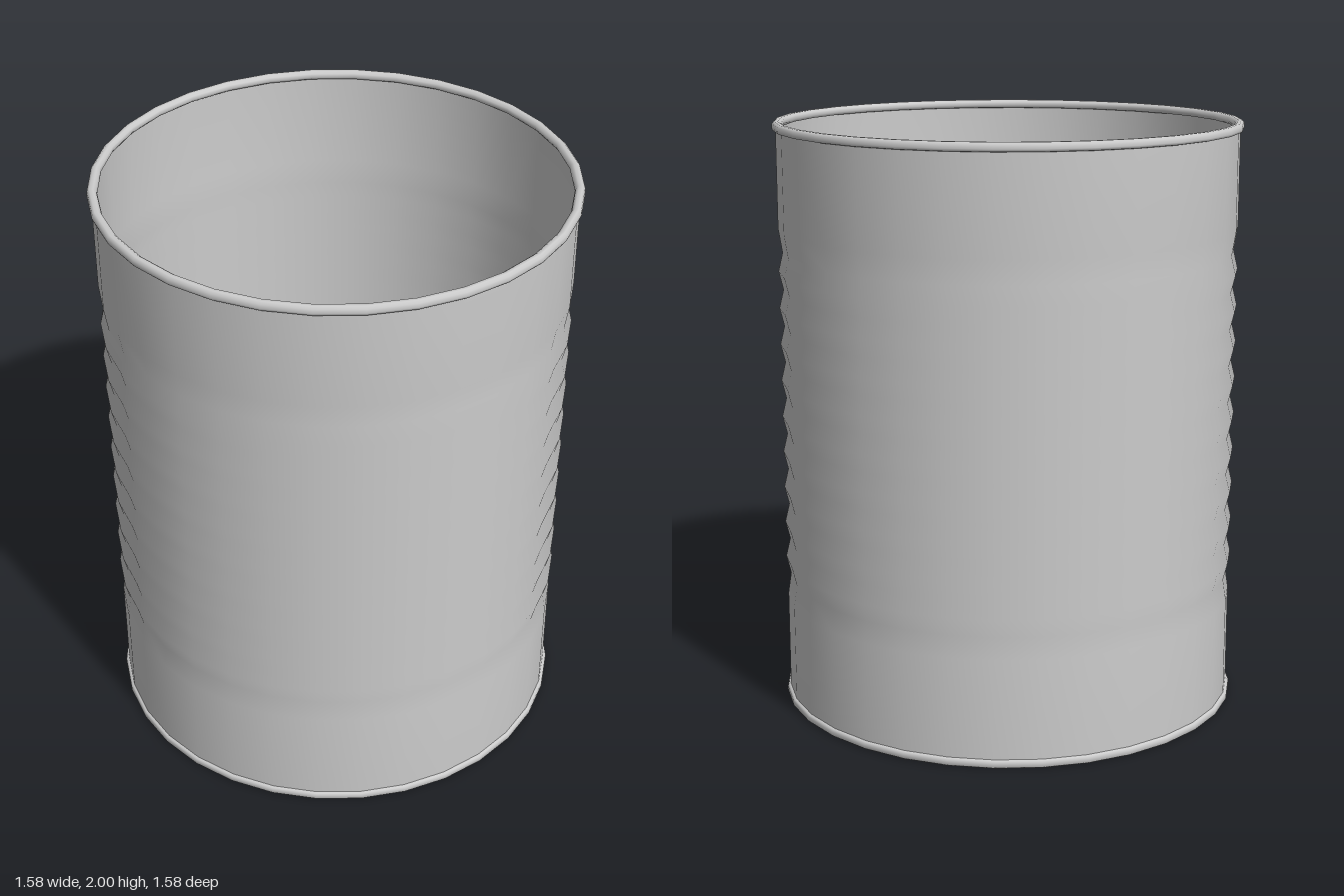
import * as THREE from 'three';

const SIDES = 32;

export function createModel() {
  const can = new THREE.Group();
  can.name = 'openTinCan';
  const metal = new THREE.MeshStandardMaterial({ color: 0xcccccc, side: THREE.DoubleSide });

  // Revolve a profile of [radius, height] pairs around the y axis
  const lathe = (name, profile) => {
    const points = profile.map(([r, y]) => new THREE.Vector2(r, y));
    const mesh = new THREE.Mesh(new THREE.LatheGeometry(points, SIDES), metal);
    mesh.name = name;
    can.add(mesh);
  };

  // Thin wall with ten shallow grooves between two plain bands
  const wall = [[0.775, 0.015], [0.775, 0.365]];
  for (let i = 0; i < 10; i++) {
    const y = 0.4375 + i * 0.125;
    wall.push([0.764, y]);
    if (i < 9) wall.push([0.779, y + 0.0625]);
  }
  wall.push([0.777, 1.645], [0.777, 1.98]);
  lathe('ribbedWall', wall);

  // Rolled lip around the open top
  lathe('topRim', [
    [0.777, 1.97], [0.787, 1.972], [0.79, 1.98], [0.788, 1.993], [0.78, 2],
    [0.768, 2], [0.759, 1.993], [0.756, 1.982], [0.762, 1.972], [0.777, 1.97],
  ]);

  // Seam around the base
  lathe('bottomRim', [
    [0.757, 0.012], [0.762, 0.003], [0.77, 0], [0.78, 0], [0.786, 0.005],
    [0.786, 0.018], [0.782, 0.025], [0.775, 0.027],
  ]);

  // Flat floor, set just inside the base seam
  const floor = new THREE.Mesh(new THREE.CircleGeometry(0.775, SIDES), metal);
  floor.name = 'floor';
  floor.rotation.x = -Math.PI / 2;
  floor.position.y = 0.012;
  can.add(floor);

  return can;
}
